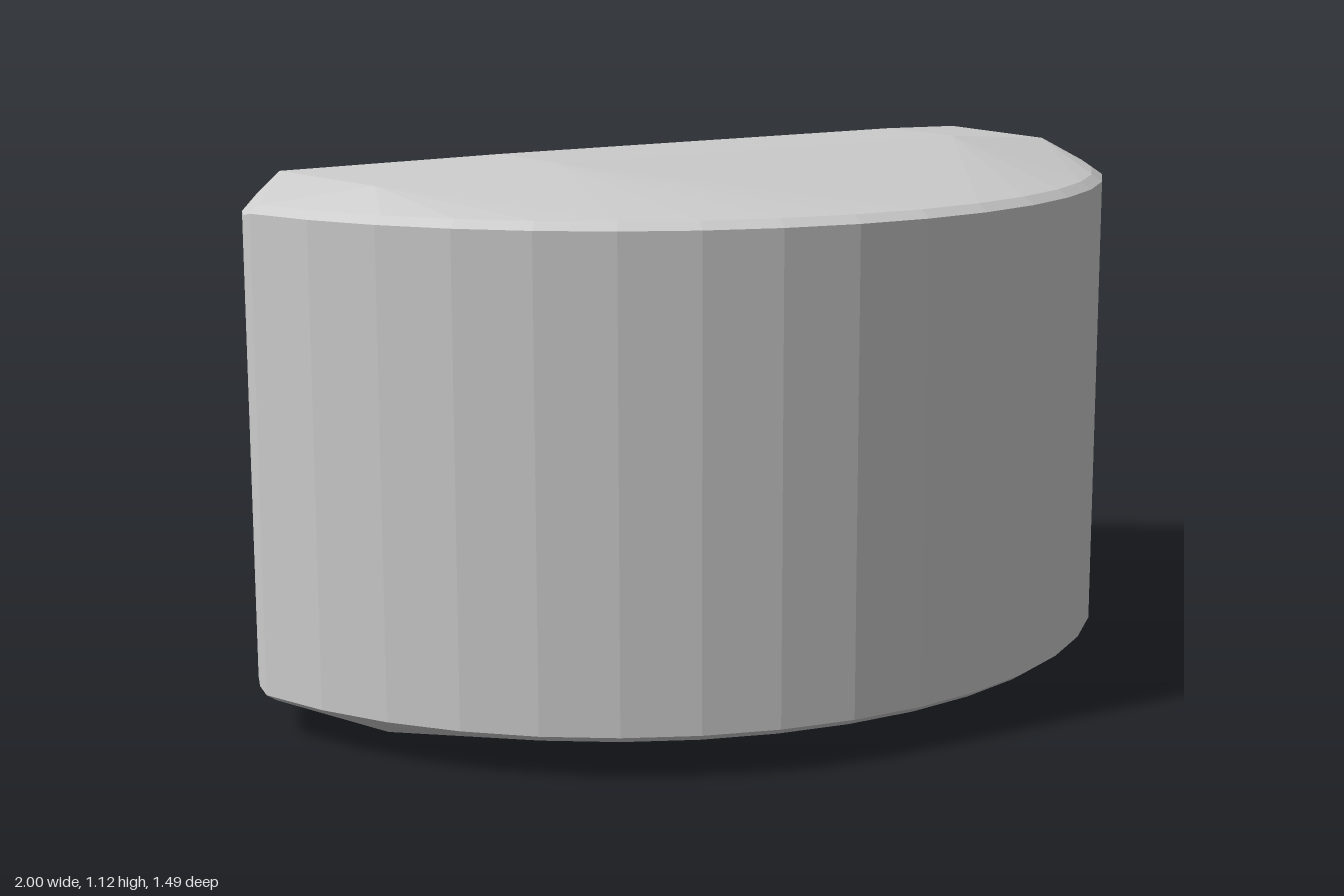
import * as THREE from 'three';
import { ConvexGeometry } from 'three/addons/geometries/ConvexGeometry.js';

const MID = 0.56; // height of the horizontal mirror plane

export function createModel() {
  const points = [];
  // add a point mirrored left/right and top/bottom
  const add = (x, h, z) => {
    for (const sx of x === 0 ? [1] : [-1, 1]) {
      for (const sy of [-1, 1]) points.push(new THREE.Vector3(sx * x, MID + sy * h, z));
    }
  };

  // rounded front wall with a narrow bevelled rim
  const radius = 1.03, centreZ = -0.285, steps = 9;
  for (let i = 0; i <= steps; i++) {
    const a = (i / steps) * 1.33;
    const s = Math.sin(a), c = Math.cos(a);
    add(radius * s, 0.472, centreZ + radius * c);
    add((radius - 0.022) * s, 0.487, centreZ + (radius - 0.022) * c);
  }

  // rounded side corners
  add(0.995, 0.465, -0.08);
  add(0.97, 0.465, -0.14);
  add(0.95, 0.495, -0.1);

  // crown: flat ridge with sloping shoulders
  add(0.49, 0.56, 0.235);
  add(0.49, 0.56, 0.02);
  add(0.83, 0.53, 0.14);
  add(0.86, 0.53, -0.2);
  add(0.66, 0.53, -0.21);
  add(0.9, 0.49, -0.215);

  // tapered back with bevelled edges
  add(0.46, 0.25, -0.745);
  add(0.49, 0.25, -0.73);
  add(0.45, 0.305, -0.72);

  const body = new THREE.Mesh(
    new ConvexGeometry(points),
    new THREE.MeshStandardMaterial({ color: 0xcccccc, flatShading: true })
  );
  body.name = 'body';

  const group = new THREE.Group();
  group.name = 'facetedBlock';
  group.add(body);
  return group;
}
